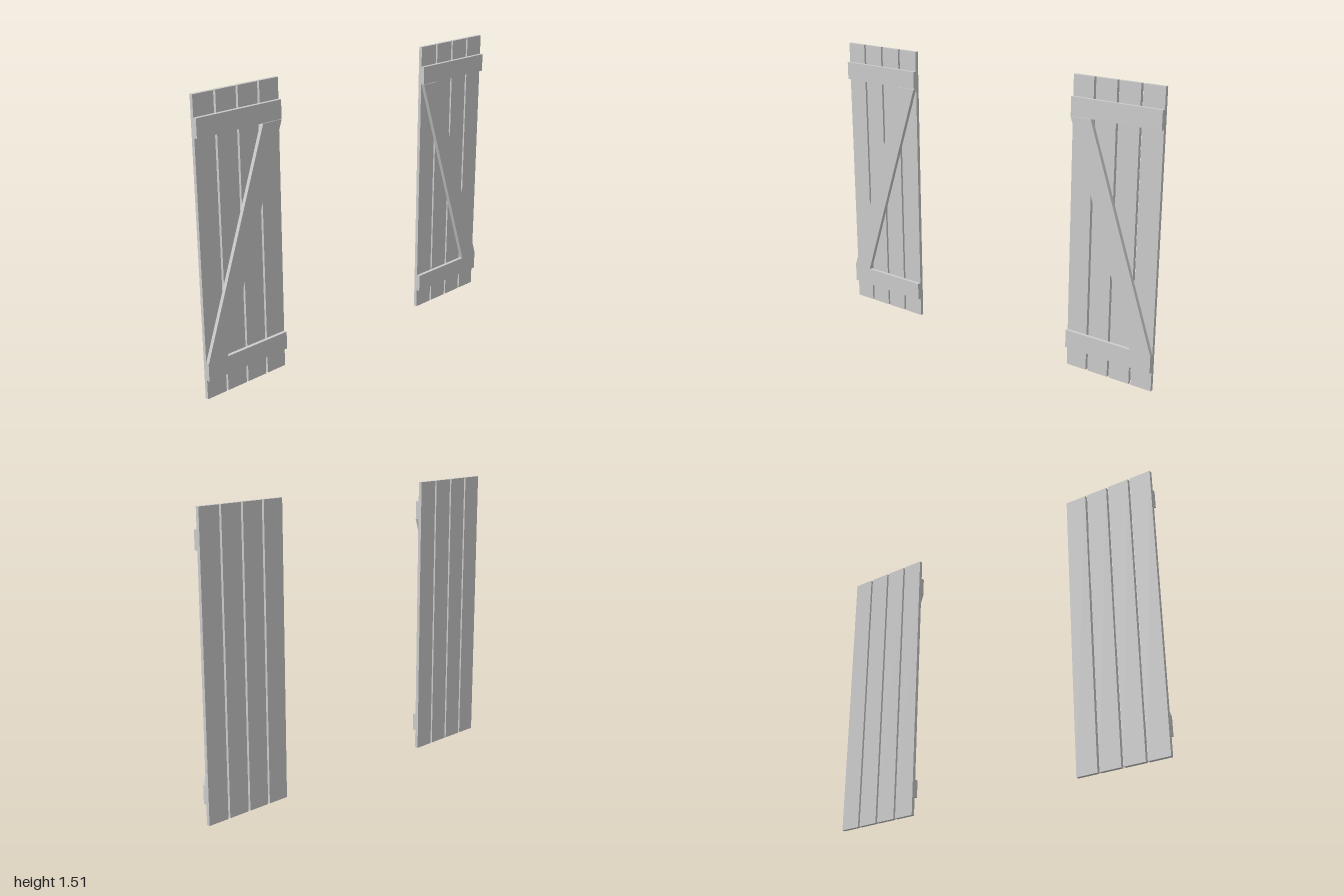
import * as THREE from 'three';

const HEIGHT = 1.515;
const INNER = 0.505, OUTER = 1.0;
const PLANKS = 4, PLANK_WIDTH = 0.115;

const material = new THREE.MeshStandardMaterial({ color: 0xcccccc, flatShading: true });

// Box given by its limits on each axis
function board(name, [x0, x1], [y0, y1], [z0, z1]) {
  const mesh = new THREE.Mesh(new THREE.BoxGeometry(x1 - x0, y1 - y0, Math.abs(z1 - z0)), material);
  mesh.position.set((x0 + x1) / 2, (y0 + y1) / 2, (z0 + z1) / 2);
  mesh.name = name;
  return mesh;
}

// Slanted board with level ends, drawn in the z-y plane and extruded along x
function brace(side) {
  const corners = [[OUTER, 0.197], [0.885, 0.197], [INNER + 0.001, 1.314], [0.62, 1.314]];
  const shape = new THREE.Shape(corners.map(([z, y]) => new THREE.Vector2(side * z, y)));
  const geometry = new THREE.ExtrudeGeometry(shape, { depth: 0.023, bevelEnabled: false });
  geometry.rotateY(-Math.PI / 2);
  geometry.translate(0.02, 0, 0);
  const mesh = new THREE.Mesh(geometry, material);
  mesh.name = 'diagonalBrace';
  return mesh;
}

function shutter(side) {
  const group = new THREE.Group();
  group.name = side > 0 ? 'frontShutter' : 'backShutter';

  // Vertical planks with narrow gaps
  const pitch = (OUTER - INNER - PLANK_WIDTH) / (PLANKS - 1);
  for (let i = 0; i < PLANKS; i++) {
    const z = INNER + i * pitch;
    group.add(board('plank', [-0.02, -0.001], [0, HEIGHT], [side * z, side * (z + PLANK_WIDTH)]));
  }

  // Cross rails
  const span = [side * INNER, side * OUTER];
  group.add(board('bottomRail', [-0.001, 0.018], [0.102, 0.197], span));
  group.add(board('topRail', [-0.001, 0.018], [1.315, 1.41], span));

  group.add(brace(side));
  return group;
}

export function createModel() {
  const model = new THREE.Group();
  model.name = 'shutters';
  model.add(shutter(1), shutter(-1));
  return model;
}
